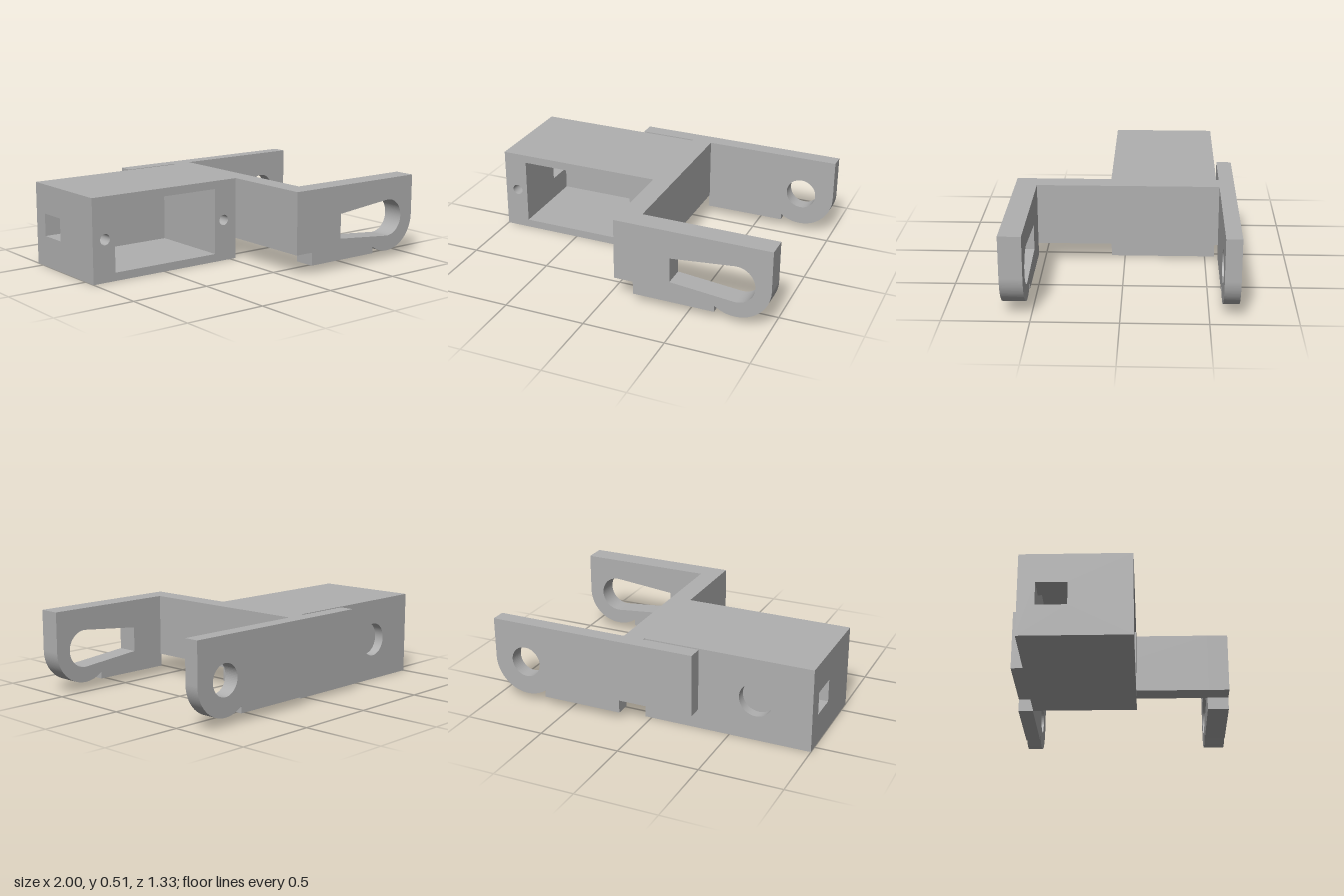
import * as THREE from 'three';

const TOP = 0.51, PIVOT = [0.79, 0.26], R = 0.21;
// servo box limits and its cavity
const BOX = { x0: -1, x1: 0.04, y0: 0, y1: TOP, z0: -0.56, z1: 0.085 };
const CAV = { x0: -0.85, x1: -0.12, y0: 0.05, y1: 0.46, z0: -0.46, z1: 0.085 };
const SLOT = { x0: -1, x1: -0.85, y0: 0.19, y1: 0.33, z0: -0.46, z1: -0.28 };

// facing: the two in-plane axes with signs, the fixed axis, and the turn
const FACING = {
  front: ['x', 1, 'y', 1, 'z', 0, 0],
  back: ['x', -1, 'y', 1, 'z', 0, Math.PI],
  left: ['z', -1, 'y', 1, 'x', 0, Math.PI / 2],
  right: ['z', 1, 'y', 1, 'x', 0, -Math.PI / 2],
  top: ['x', 1, 'z', -1, 'y', -Math.PI / 2, 0],
  bottom: ['x', 1, 'z', 1, 'y', Math.PI / 2, 0],
};

export function createModel() {
  const grey = new THREE.MeshStandardMaterial({ color: 0xb0b0b0, side: THREE.DoubleSide });
  grey.name = 'grey plastic';
  const model = new THREE.Group();
  model.name = 'servoBracket';

  const add = (parent, name, geometry) => {
    const mesh = new THREE.Mesh(geometry, grey);
    mesh.name = name;
    parent.add(mesh);
    return mesh;
  };

  // one flat wall of a block, with rectangular {x0..} or round [x, y, r] openings
  const wall = (parent, name, facing, at, b, openings = []) => {
    const [u, su, v, sv, axis, rx, ry] = FACING[facing];
    const corners = (o) => [[0, 0], [1, 0], [1, 1], [0, 1]].map(([i, j]) =>
      new THREE.Vector2(su * o[u + i], sv * o[v + j]));
    const shape = new THREE.Shape(corners(b));
    for (const o of openings) {
      shape.holes.push(Array.isArray(o)
        ? new THREE.Path().absarc(su * o[0], sv * o[1], o[2], 0, Math.PI * 2, true)
        : new THREE.Path(corners(o)));
    }
    const mesh = add(parent, name, new THREE.ShapeGeometry(shape, 24));
    mesh.rotation.set(rx, ry, 0);
    mesh.position[axis] = at;
  };

  // blind round hole: bore plus floor
  const blindHole = (parent, name, [x, y, r], zOpen, zFloor) => {
    const bore = add(parent, name + 'Bore',
      new THREE.CylinderGeometry(r, r, Math.abs(zOpen - zFloor), 48, 1, true));
    bore.rotation.x = Math.PI / 2;
    bore.position.set(x, y, (zOpen + zFloor) / 2);
    const floor = add(parent, name + 'Floor', new THREE.CircleGeometry(r, 48));
    floor.position.set(x, y, zFloor);
    if (zOpen < zFloor) floor.rotation.y = Math.PI;
  };

  // servo box
  const box = new THREE.Group();
  box.name = 'servoBox';
  model.add(box);
  const screws = [[-0.917, 0.257, 0.033], [-0.053, 0.257, 0.033]];
  const backHole = [-0.66, 0.257, 0.103];
  wall(box, 'boxFront', 'front', BOX.z1, BOX, [CAV, ...screws]);
  wall(box, 'boxBack', 'back', BOX.z0, BOX, [backHole]);
  wall(box, 'boxOuterEnd', 'right', BOX.x0, BOX, [SLOT]);
  wall(box, 'boxInnerEnd', 'left', BOX.x1, BOX);
  wall(box, 'boxTop', 'top', BOX.y1, BOX);
  wall(box, 'boxBottom', 'bottom', BOX.y0, BOX);
  screws.forEach((s) => blindHole(box, 'screwHole', s, BOX.z1, BOX.z1 - 0.25));
  blindHole(box, 'backHole', backHole, BOX.z0, BOX.z0 + 0.06);

  // cavity, and the cable slot leading out of it
  wall(box, 'cavityBack', 'front', CAV.z0, CAV);
  wall(box, 'cavityOuterEnd', 'left', CAV.x0, CAV, [SLOT]);
  wall(box, 'cavityInnerEnd', 'right', CAV.x1, CAV);
  for (const [name, b] of [['cavity', CAV], ['cableSlot', SLOT]]) {
    wall(box, name + 'Ceiling', 'bottom', b.y1, b);
    wall(box, name + 'Floor', 'top', b.y0, b);
  }
  wall(box, 'cableSlotBack', 'front', SLOT.z0, SLOT);
  wall(box, 'cableSlotFront', 'back', SLOT.z1, SLOT);

  // crossbar joining the two arms
  const bar = add(model, 'crossbar', new THREE.BoxGeometry(0.125, 0.38, 1.11));
  bar.position.set(0.1025, 0.32, -0.02);

  // arm with a stepped lower edge and a rounded pivot end
  const arm = (name, xStart, z0, z1, hole) => {
    const s = new THREE.Shape();
    s.moveTo(xStart, TOP);
    s.lineTo(xStart, 0.13);
    s.lineTo(0.16, 0.13);
    s.lineTo(0.16, 0.05);
    s.lineTo(0.665, 0.05);
    s.lineTo(0.665, 0.091);
    s.absarc(...PIVOT, R, Math.atan2(-0.169, -0.125), 0, false);
    s.lineTo(1, TOP);
    s.closePath();
    s.holes.push(hole);
    const geometry = new THREE.ExtrudeGeometry(s, { depth: z1 - z0, bevelEnabled: false, curveSegments: 32 });
    add(model, name, geometry).position.z = z0;
  };

  // round pivot hole at the back, tapered horn slot at the front
  const pivot = new THREE.Path().absarc(...PIVOT, 0.095, 0, Math.PI * 2, true);
  const horn = new THREE.Path();
  const tilt = 1.66;
  horn.moveTo(0.39, 0.182);
  horn.lineTo(0.39, 0.336);
  horn.absarc(...PIVOT, 0.115, tilt, -tilt, true);
  horn.closePath();
  arm('backArm', -0.31, -0.667, -0.575, pivot);
  arm('frontArm', 0.04, 0.533, 0.665, horn);

  return model;
}
